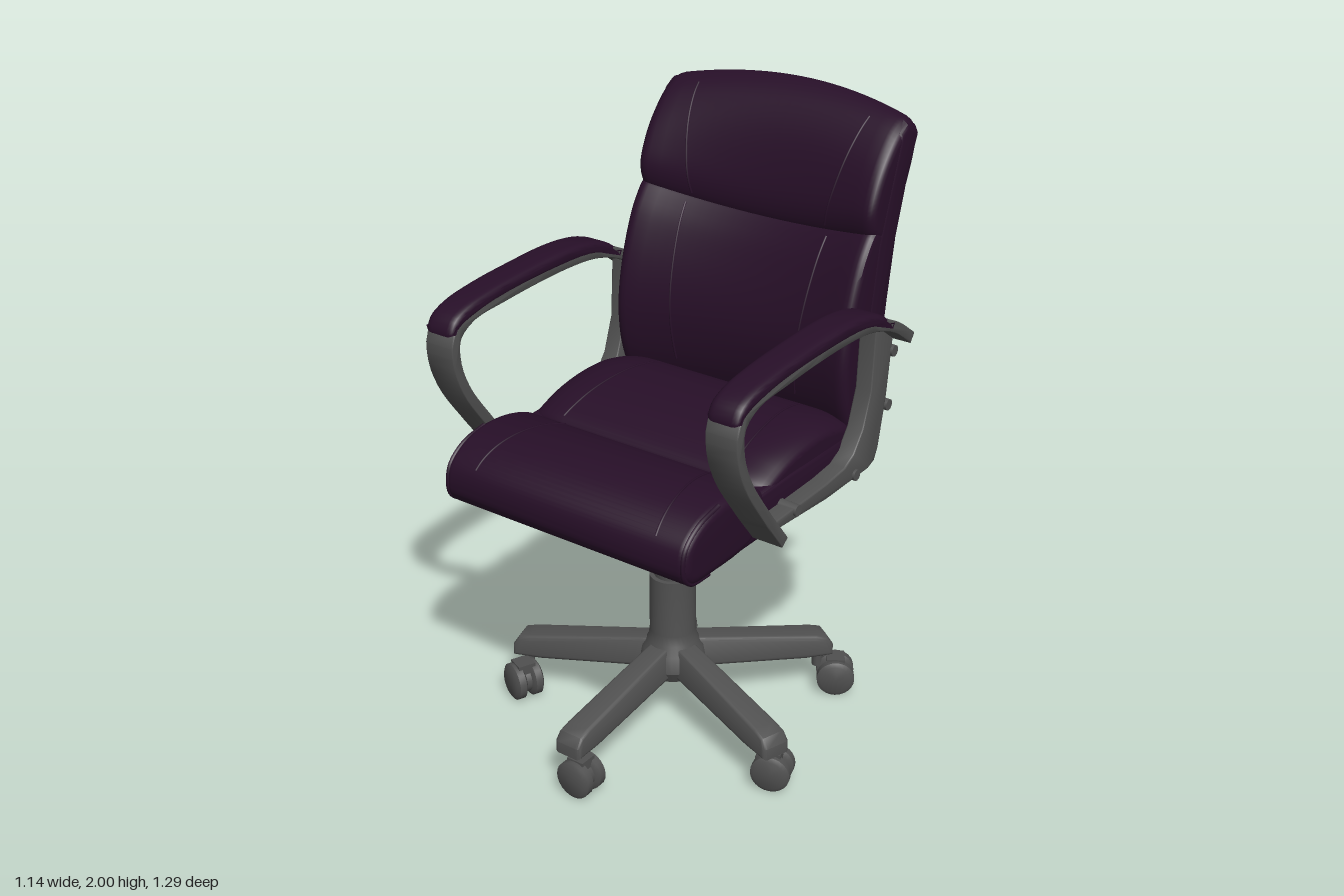
import * as THREE from 'three';
import { toCreasedNormals } from 'three/addons/utils/BufferGeometryUtils.js';

const leather = new THREE.MeshStandardMaterial({ color: 0x270f28 });
leather.name = 'plum leather';
const plastic = new THREE.MeshStandardMaterial({ color: 0x505050 });
plastic.name = 'grey plastic';

function part(parent, name, geometry, material) {
  const mesh = new THREE.Mesh(geometry, material);
  mesh.name = name;
  parent.add(mesh);
  return mesh;
}

// Side profile of [z, y] points, carried across x with rounded ends and an optional vertex rule
function slab(points, half, { inset = 0.01, round = inset, smooth = false, steps = 1, segs = 4, warp, cx = 0 } = {}) {
  let outline = points.map(([z, y]) => new THREE.Vector3(z, y, 0));
  if (smooth) outline = new THREE.CatmullRomCurve3(outline, true).getPoints(56).slice(0, -1);
  const shape = new THREE.Shape(outline.map((p) => new THREE.Vector2(p.x, p.y)));
  const geo = new THREE.ExtrudeGeometry(shape, {
    depth: 2 * (half - round), steps, bevelEnabled: true,
    bevelSize: inset, bevelOffset: -inset, bevelThickness: round, bevelSegments: segs,
  });
  geo.translate(0, 0, round - half).rotateY(-Math.PI / 2);
  const pos = geo.attributes.position;
  const v = new THREE.Vector3();
  if (warp) {
    for (let i = 0; i < pos.count; i++) {
      warp(v.fromBufferAttribute(pos, i), v.x / half);
      pos.setXYZ(i, v.x, v.y, v.z);
    }
  }
  geo.translate(cx, 0, 0);
  return toCreasedNormals(geo, 0.6);
}

function rod(r, from, to, rTop = r, sides = 24) {
  const a = new THREE.Vector3(...from), b = new THREE.Vector3(...to);
  const dir = b.clone().sub(a);
  const geo = new THREE.CylinderGeometry(rTop, r, dir.length(), sides);
  geo.applyQuaternion(new THREE.Quaternion().setFromUnitVectors(new THREE.Vector3(0, 1, 0), dir.normalize()));
  const m = a.add(b).multiplyScalar(0.5);
  return geo.translate(m.x, m.y, m.z);
}

function box(w, h, d, x, y, z) {
  return new THREE.BoxGeometry(w, h, d).translate(x, y, z);
}

// Stitched seam laid on a cushion along a straight line of sight
function seam(parent, name, cushion, from, to, direction) {
  const a = new THREE.Vector3(...from), b = new THREE.Vector3(...to);
  const ray = new THREE.Raycaster();
  const hits = [];
  for (let i = 0; i <= 16; i++) {
    ray.set(a.clone().lerp(b, i / 16), direction);
    const hit = ray.intersectObject(cushion)[0];
    if (hit) hits.push(hit.point);
  }
  if (hits.length > 1) {
    part(parent, name, new THREE.TubeGeometry(new THREE.CatmullRomCurve3(hits), 32, 0.004, 6), leather);
  }
}

function buildSeat(chair) {
  const seat = new THREE.Group();
  seat.name = 'seat';
  chair.add(seat);
  part(seat, 'seatBase', slab([[0.56, 0.88], [0.58, 0.95], [0.5, 1.02], [0.1, 1.035], [-0.26, 1.03], [-0.33, 0.98],
    [-0.32, 0.89], [-0.1, 0.875]], 0.45, { inset: 0.02 }), leather);
  const rollProfile = [[0.63, 0.95], [0.615, 1.01], [0.55, 1.06], [0.45, 1.083], [0.33, 1.072], [0.235, 1.03],
    [0.22, 0.95], [0.3, 0.885], [0.5, 0.872], [0.59, 0.88], [0.622, 0.91]];
  const roll = part(seat, 'frontRoll', slab(rollProfile, 0.452, { inset: 0.03, smooth: true }), leather);
  const rear = part(seat, 'rearCushion', slab([[0.24, 1.03], [0.15, 1.08], [0, 1.11], [-0.15, 1.105], [-0.27, 1.06],
    [-0.31, 0.99], [0, 0.95], [0.2, 0.96]], 0.445, { inset: 0.045, round: 0.13, smooth: true, segs: 8 }), leather);
  const down = new THREE.Vector3(0, -1, 0);
  for (const s of [-1, 1]) {
    seam(seat, 'seatSeam', rear, [s * 0.27, 2, -0.22], [s * 0.315, 2, 0.22], down);
    seam(seat, 'rollSeam', roll, [s * 0.275, 2, 0.26], [s * 0.335, 2, 0.61], down);
    // Piping around each end of the roll
    const path = rollProfile.slice(0, 4).concat(rollProfile.slice(8)).map(([z, y]) =>
      new THREE.Vector3(s * 0.438, 0.96 + (y - 0.96) * 0.94, 0.5 + (z - 0.5) * 0.95));
    const ordered = path.slice(4).concat(path.slice(0, 4));
    part(seat, 'piping', new THREE.TubeGeometry(new THREE.CatmullRomCurve3(ordered), 40, 0.008, 6), leather);
  }
}

function buildBack(chair) {
  const back = new THREE.Group();
  back.name = 'backrest';
  chair.add(back);
  // Wraps the sides forward, arches the top and sags the middle seam
  const curve = (k) => (v, u) => {
    const top = THREE.MathUtils.smoothstep(v.y, 1.64, 1.95);
    const low = THREE.MathUtils.smoothstep(v.y, 1.2, 1.6);
    v.z += 0.055 * (u * u - k);
    v.y += low * (1 - top) * 0.045 * (u * u - 1) - top * 0.05 * u * u;
  };
  part(back, 'backShell', slab([[-0.31, 0.9], [-0.35, 0.885], [-0.435, 0.885], [-0.452, 0.91], [-0.472, 1.2], [-0.5, 1.4],
    [-0.535, 1.6], [-0.595, 1.83], [-0.64, 1.95], [-0.625, 1.975], [-0.57, 1.995], [-0.53, 1.97], [-0.48, 1.8],
    [-0.42, 1.6], [-0.36, 1.25], [-0.33, 1.05]], 0.442, { inset: 0.02, steps: 20, warp: curve(0) }), leather);
  const lumbar = part(back, 'lumbarCushion', slab([[-0.3, 0.95], [-0.235, 1.07], [-0.21, 1.2], [-0.215, 1.32], [-0.255, 1.48],
    [-0.31, 1.6], [-0.37, 1.66], [-0.45, 1.62], [-0.43, 1.3], [-0.39, 1.0]], 0.44,
  { inset: 0.03, round: 0.04, smooth: true, steps: 20, warp: curve(0.8) }), leather);
  const head = part(back, 'headCushion', slab([[-0.37, 1.63], [-0.352, 1.7], [-0.375, 1.8], [-0.425, 1.9], [-0.495, 1.975],
    [-0.565, 2.0], [-0.61, 1.965], [-0.57, 1.78], [-0.5, 1.63], [-0.42, 1.6]], 0.44,
  { inset: 0.03, round: 0.04, smooth: true, steps: 20, warp: curve(0.5) }), leather);
  const inward = new THREE.Vector3(0, 0, -1);
  for (const s of [-1, 1]) {
    seam(back, 'lumbarSeam', lumbar, [s * 0.23, 1.1, 1], [s * 0.265, 1.6, 1], inward);
    seam(back, 'headSeam', head, [s * 0.25, 1.63, 1], [s * 0.315, 1.95, 1], inward);
  }
}

function buildArm(chair, s) {
  const arm = new THREE.Group();
  arm.name = s > 0 ? 'leftArm' : 'rightArm';
  chair.add(arm);
  // Bent band: offset a centre line to both sides
  const line = new THREE.CatmullRomCurve3([[0.3, 0.93], [0.4, 1.06], [0.495, 1.2], [0.53, 1.3], [0.525, 1.38], [0.46, 1.428],
    [0.3, 1.447], [0, 1.458], [-0.15, 1.445], [-0.28, 1.4], [-0.385, 1.33]].map(([z, y]) => new THREE.Vector3(z, y, 0)));
  const outer = [], inner = [];
  for (let i = 0; i <= 48; i++) {
    const p = line.getPointAt(i / 48), t = line.getTangentAt(i / 48);
    outer.push([p.x + t.y * 0.018, p.y - t.x * 0.018]);
    inner.unshift([p.x - t.y * 0.018, p.y + t.x * 0.018]);
  }
  part(arm, 'armBand', slab(outer.concat(inner), 0.054, { cx: s * 0.513, inset: 0.005 }), plastic);
  part(arm, 'armBracket', slab([[-0.377, 1.342], [-0.35, 1.13], [-0.315, 0.97], [-0.295, 0.93], [-0.26, 0.916], [-0.02, 0.912],
    [0.31, 0.932], [0.31, 0.957], [-0.02, 0.965], [-0.12, 0.975], [-0.17, 1.0], [-0.22, 1.065], [-0.26, 1.18], [-0.272, 1.38]],
  0.03, { cx: s * 0.475, inset: 0.006 }), plastic);
  part(arm, 'armPad', slab([[0.548, 1.39], [0.53, 1.435], [0.47, 1.465], [0.35, 1.485], [0.18, 1.497], [0, 1.502], [-0.13, 1.488],
    [-0.22, 1.455], [-0.275, 1.405], [-0.2, 1.42], [-0.1, 1.445], [0.1, 1.452], [0.35, 1.44], [0.48, 1.415]], 0.055,
  { cx: s * 0.513, inset: 0.016, round: 0.025, smooth: true }), leather);
  for (const [z, y] of [[0.15, 0.95], [-0.18, 0.928], [-0.375, 1.275], [-0.355, 1.1]]) {
    part(arm, 'bolt', rod(0.022, [s * 0.43, y, z], [s * 0.513, y, z], 0.018, 16), plastic);
  }
}

function buildBase(chair) {
  const base = new THREE.Group();
  base.name = 'base';
  chair.add(base);
  const zc = 0.08;
  const profile = [[0, 0.17], [0.09, 0.17], [0.11, 0.21], [0.1, 0.265], [0.08, 0.295], [0.075, 0.33], [0.075, 0.53],
    [0.06, 0.53], [0.06, 0.73], [0.035, 0.73], [0.035, 0.87], [0, 0.87]].map(([r, y]) => new THREE.Vector2(r, y));
  part(base, 'column', toCreasedNormals(new THREE.LatheGeometry(profile, 32).translate(0, 0, zc), 0.6), plastic);
  // Wheel centres [x, z] and swivel, in order around the star
  const wheels = [[0.03, 0.6, 0], [0.49, 0.22, 0.35], [0.365, -0.345, 0.6], [-0.25, -0.29, -0.5], [-0.46, 0.3, -0.4]];
  wheels.forEach(([x, z, yaw], i) => {
    const angle = (i * Math.PI * 2) / 5;
    const leg = slab([[0, 0.18], [0, 0.3], [0.1, 0.284], [0.49, 0.217], [0.53, 0.205], [0.55, 0.175], [0.55, 0.135],
      [0.45, 0.138], [0.1, 0.18]], 0.046, { inset: 0.014, warp: (v) => { v.x *= 1.1 - 2.2 * Math.max(0, v.y - 0.16); } });
    part(base, 'leg', leg.rotateY(angle).translate(0, 0, zc), plastic);
    const sx = Math.sin(angle) * 0.51, sz = zc + Math.cos(angle) * 0.51;
    part(base, 'casterStem', rod(0.018, [sx, 0.08, sz], [sx, 0.16, sz], 0.018, 12), plastic);
    const caster = new THREE.Group();
    caster.name = 'caster';
    caster.position.set(x, 0.063, z);
    caster.rotation.y = yaw;
    base.add(caster);
    const rim = [[0, -0.02], [0.05, -0.02], [0.063, -0.012], [0.063, 0.012], [0.05, 0.02], [0, 0.02]]
      .map(([r, y]) => new THREE.Vector2(r, y));
    for (const side of [-1, 1]) {
      const wheel = new THREE.LatheGeometry(rim, 24).rotateX(Math.PI / 2).translate(0, 0, side * 0.03);
      part(caster, 'wheel', toCreasedNormals(wheel, 0.6), plastic);
    }
    part(caster, 'casterCore', rod(0.045, [0, 0, -0.03], [0, 0, 0.03]), plastic);
    part(caster, 'casterHood', box(0.06, 0.035, 0.06, 0, 0.05, 0), plastic);
  });
}

function buildMechanism(chair) {
  const mech = new THREE.Group();
  mech.name = 'tiltMechanism';
  chair.add(mech);
  part(mech, 'mountPlate', box(0.3, 0.014, 0.3, 0, 0.868, 0.04), plastic);
  part(mech, 'housing', box(0.12, 0.04, 0.2, 0, 0.842, 0.07), plastic);
  part(mech, 'rearTongue', box(0.1, 0.028, 0.24, 0, 0.808, -0.015), plastic);
  part(mech, 'knobNeck', rod(0.035, [0, 0.87, 0.17], [0, 0.8, 0.21]), plastic);
  part(mech, 'tensionKnob', rod(0.052, [0, 0.835, 0.19], [0, 0.715, 0.25]), plastic);
  const wire = new THREE.CatmullRomCurve3([[0, 0.825, 0], [-0.15, 0.825, -0.01], [-0.25, 0.822, -0.04], [-0.268, 0.81, -0.055],
    [-0.27, 0.77, -0.08]].map((p) => new THREE.Vector3(...p)));
  part(mech, 'heightLever', new THREE.TubeGeometry(wire, 32, 0.005, 8), plastic);
  part(mech, 'leverGrip', rod(0.016, [-0.27, 0.755, -0.085], [-0.27, 0.8, -0.062], 0.01, 12), plastic);
}

export function createModel() {
  const chair = new THREE.Group();
  chair.name = 'officeChair';
  buildSeat(chair);
  buildBack(chair);
  for (const s of [-1, 1]) buildArm(chair, s);
  buildBase(chair);
  buildMechanism(chair);
  return chair;
}
